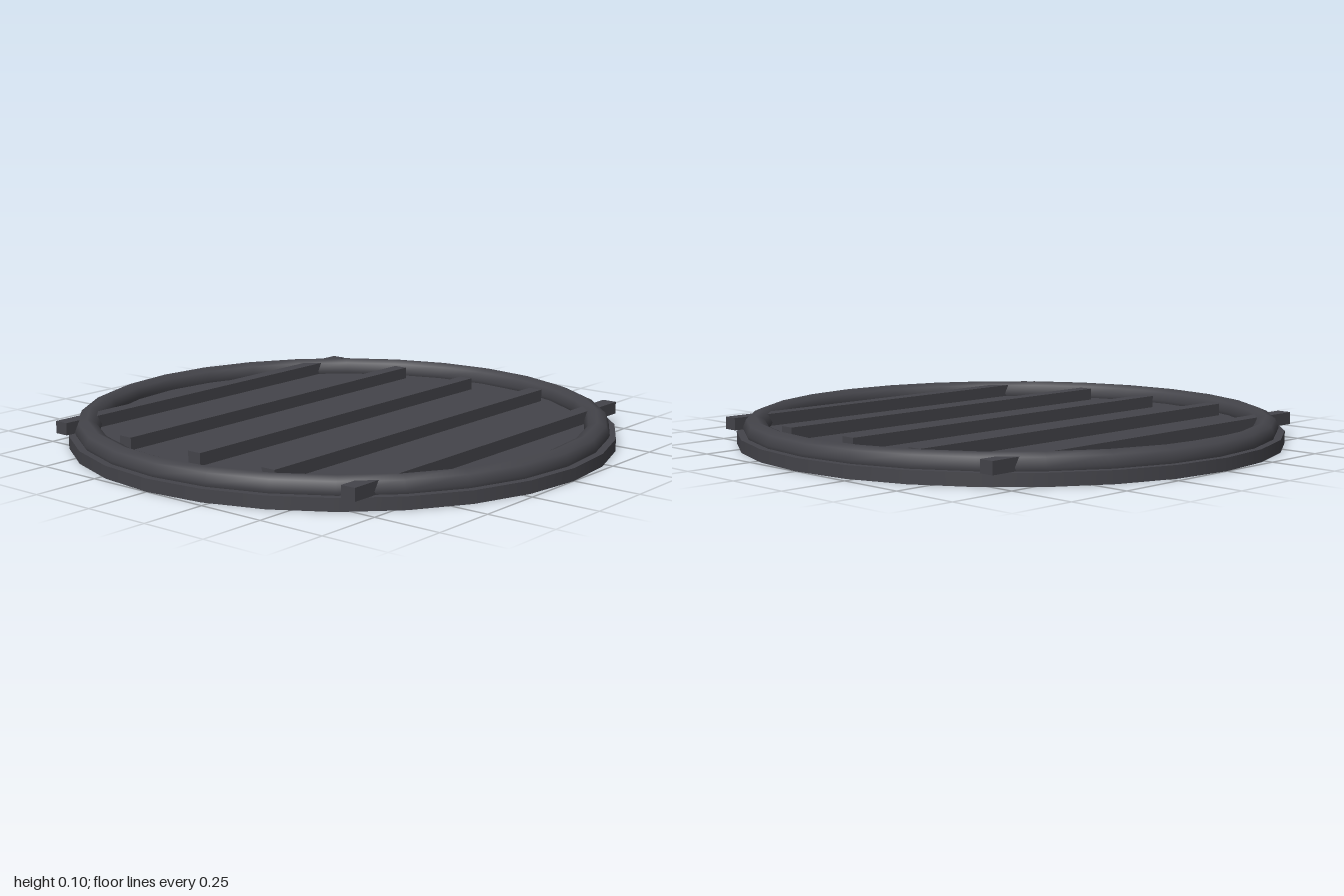
import * as THREE from 'three';

const SIDES = 28;

export function createModel() {
  const model = new THREE.Group();
  const iron = new THREE.MeshStandardMaterial({ color: 0x44444a });

  const add = (name, geometry, x, y, z) => {
    const mesh = new THREE.Mesh(geometry, iron);
    mesh.name = name;
    mesh.position.set(x, y, z);
    model.add(mesh);
    return mesh;
  };

  // Flat round plate
  const plateHeight = 0.045;
  add('plate', new THREE.CylinderGeometry(1, 1, plateHeight, SIDES), 0, plateHeight / 2, 0);

  // Rounded rim resting on the plate
  add('rim', new THREE.TorusGeometry(0.933, 0.045, 8, SIDES).rotateX(Math.PI / 2), 0, 0.057, 0);

  // Parallel bars; the outer two poke through the rim
  const barHeight = 0.045;
  const barGeometry = new THREE.BoxGeometry(0.055, barHeight, 1.556);
  for (let i = -2; i <= 2; i++) {
    add(`bar${i + 3}`, barGeometry, i / 3, plateHeight + barHeight / 2, 0);
  }

  return model;
}
